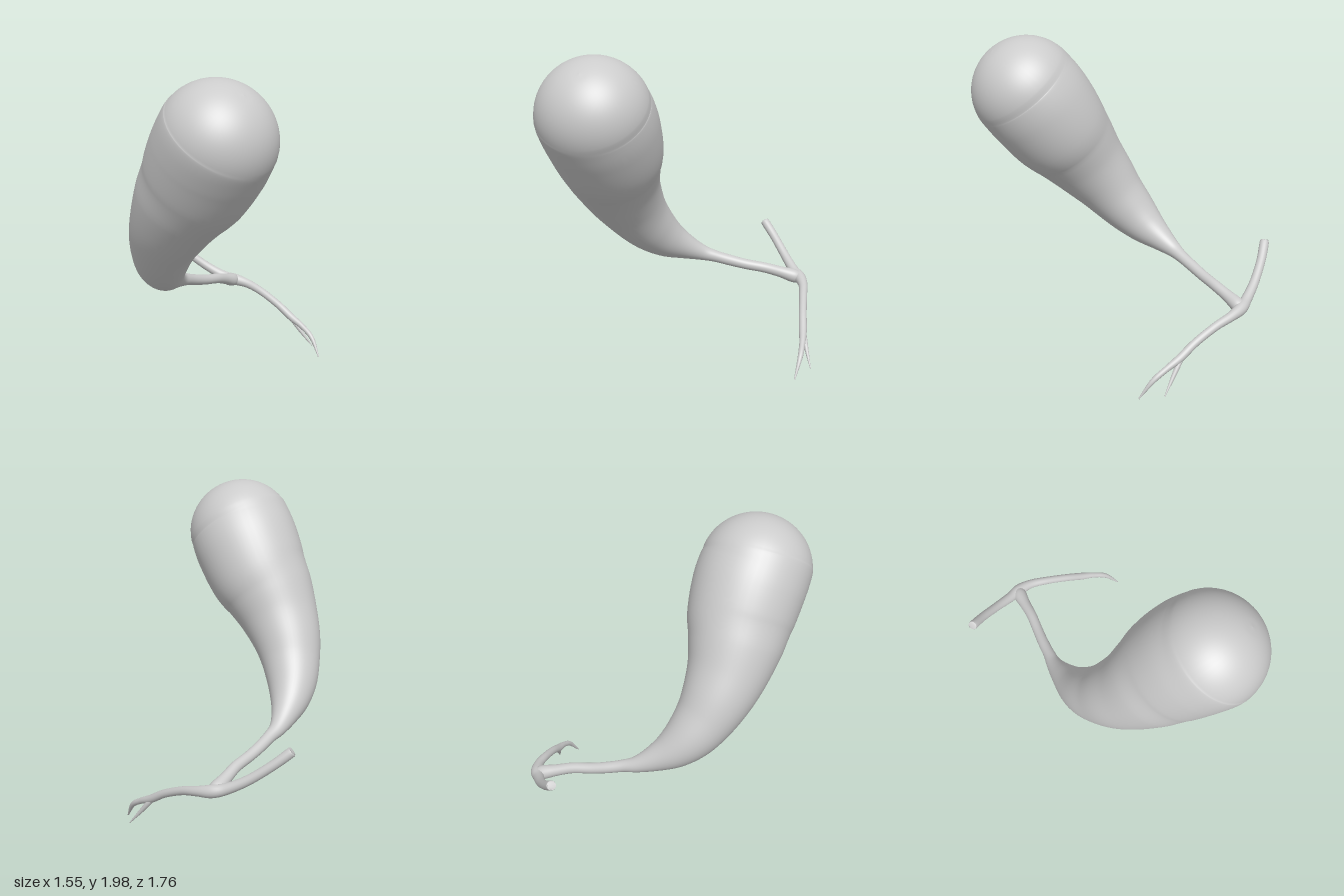
import * as THREE from 'three';

const material = new THREE.MeshStandardMaterial({ color: 0xcccccc });

// Smooth closed tube through stations [x, y, z, radius]
function sweep(name, stations, steps, sides) {
  const path = new THREE.CatmullRomCurve3(
    stations.map(([x, y, z]) => new THREE.Vector3(x, y, z)), false, 'catmullrom', 0.5);
  const radii = new THREE.CatmullRomCurve3(
    stations.map((s) => new THREE.Vector3(s[3], 0, 0)), false, 'catmullrom', 0.5);
  const positions = [], index = [];
  const normal = new THREE.Vector3(0.3, 0.2, 1), binormal = new THREE.Vector3();

  for (let i = 0; i <= steps; i++) {
    const t = i / steps;
    const centre = path.getPoint(t), tangent = path.getTangent(t);
    const radius = Math.max(radii.getPoint(t).x, 0.002);
    // carry the frame along the path without twisting
    normal.addScaledVector(tangent, -normal.dot(tangent)).normalize();
    binormal.crossVectors(tangent, normal);
    for (let j = 0; j < sides; j++) {
      const a = (j / sides) * Math.PI * 2;
      const p = centre.clone()
        .addScaledVector(normal, radius * Math.cos(a))
        .addScaledVector(binormal, radius * Math.sin(a));
      positions.push(p.x, p.y, p.z);
    }
  }

  for (let i = 0; i < steps; i++) {
    for (let j = 0; j < sides; j++) {
      const k = (j + 1) % sides;
      const a = i * sides + j, b = i * sides + k, c = a + sides, d = b + sides;
      index.push(a, b, c, b, d, c);
    }
  }

  // end caps
  const first = positions.length / 3, last = steps * sides;
  positions.push(...path.getPoint(0).toArray(), ...path.getPoint(1).toArray());
  for (let j = 0; j < sides; j++) {
    const k = (j + 1) % sides;
    index.push(first, k, j, first + 1, last + j, last + k);
  }

  const geometry = new THREE.BufferGeometry();
  geometry.setAttribute('position', new THREE.Float32BufferAttribute(positions, 3));
  geometry.setIndex(index);
  geometry.computeVertexNormals();
  const mesh = new THREE.Mesh(geometry, material);
  mesh.name = name;
  return mesh;
}

export function createModel() {
  const group = new THREE.Group();
  group.name = 'gallbladderAndDucts';

  // Rounded blind end of the sac
  const dome = [];
  for (let i = 8; i >= 1; i--) {
    const a = (i / 8) * Math.PI / 2, s = Math.sin(a);
    dome.push([-0.43 + 0.02 * s, 1.65 + 0.26 * s, 0.54 + 0.21 * s, 0.345 * Math.cos(a)]);
  }

  // Sac narrowing into its neck and duct
  group.add(sweep('sacAndNeckDuct', [
    ...dome,
    [-0.43, 1.65, 0.54, 0.345],
    [-0.425, 1.55, 0.46, 0.347],
    [-0.43, 1.4, 0.35, 0.33],
    [-0.45, 1.27, 0.245, 0.295],
    [-0.455, 1.135, 0.14, 0.255],
    [-0.44, 1.01, 0.04, 0.222],
    [-0.405, 0.89, -0.05, 0.19],
    [-0.35, 0.785, -0.135, 0.162],
    [-0.275, 0.7, -0.21, 0.127],
    [-0.18, 0.635, -0.28, 0.085],
    [-0.085, 0.587, -0.335, 0.053],
    [0, 0.56, -0.365, 0.039],
    [0.1, 0.53, -0.4, 0.036],
    [0.2, 0.505, -0.43, 0.034],
    [0.32, 0.483, -0.465, 0.034],
    [0.42, 0.452, -0.505, 0.037],
    [0.5, 0.425, -0.535, 0.045],
    [0.545, 0.412, -0.545, 0.035],
  ], 150, 48));

  // Main duct running past the junction to its tapered end
  group.add(sweep('mainDuct', [
    [0.209, 0.688, -0.85, 0.022],
    [0.215, 0.682, -0.845, 0.03],
    [0.3, 0.6, -0.785, 0.029],
    [0.4, 0.505, -0.695, 0.03],
    [0.485, 0.44, -0.605, 0.034],
    [0.545, 0.415, -0.54, 0.039],
    [0.59, 0.395, -0.455, 0.03],
    [0.62, 0.36, -0.34, 0.026],
    [0.655, 0.295, -0.2, 0.025],
    [0.685, 0.225, -0.09, 0.025],
    [0.705, 0.18, 0, 0.019],
    [0.715, 0.12, 0.09, 0.016],
    [0.705, 0.01, 0.175, 0.004],
  ], 110, 20));

  // Thin side branch near the tapered end
  group.add(sweep('sideBranch', [
    [0.68, 0.235, -0.11, 0.012],
    [0.7, 0.19, -0.075, 0.016],
    [0.73, 0.12, -0.025, 0.012],
    [0.77, 0.035, 0.035, 0.003],
  ], 30, 14));

  return group;
}
